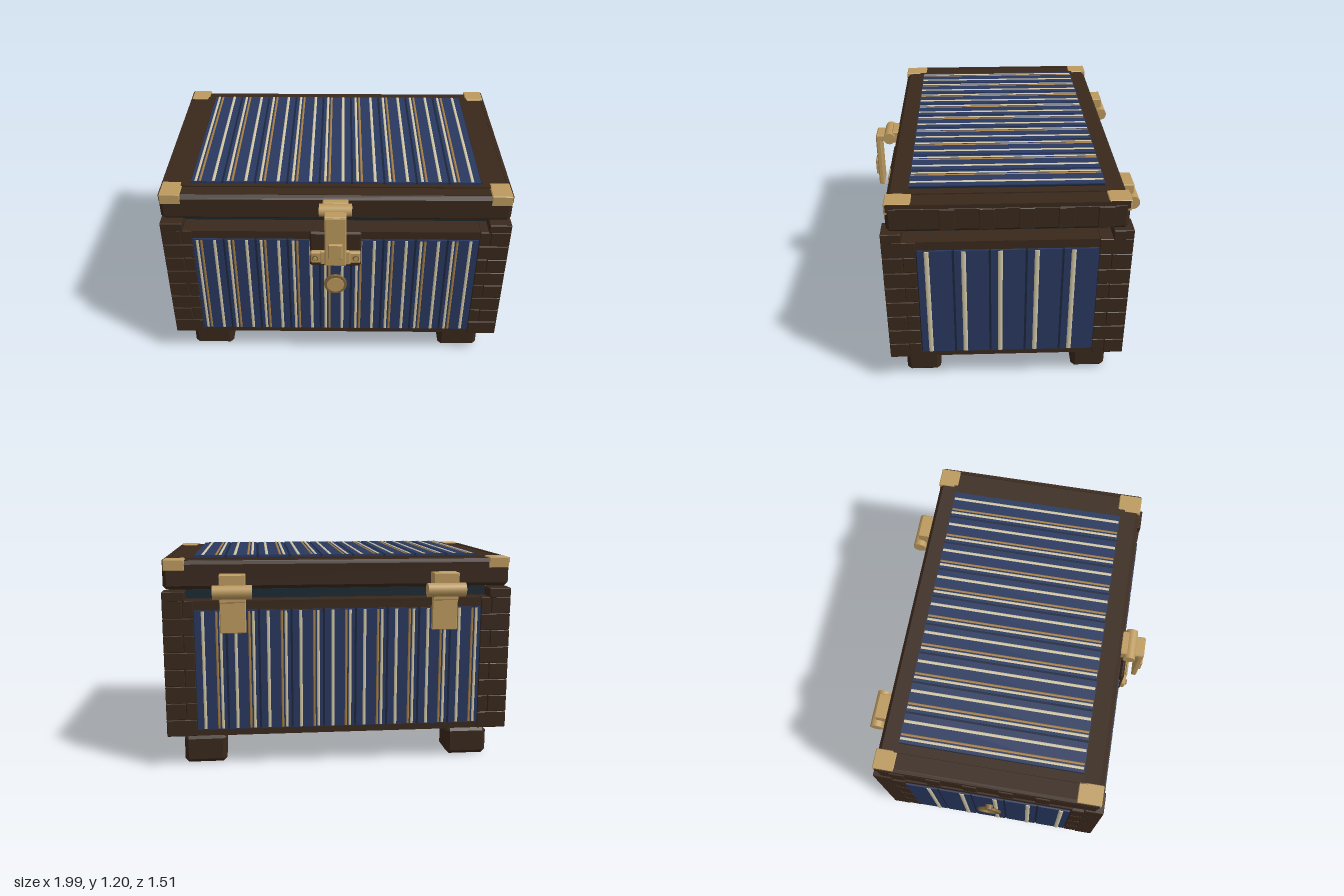
import * as THREE from 'three';
import { ConvexGeometry } from 'three/addons/geometries/ConvexGeometry.js';

const mat = (name, color) => {
  const m = new THREE.MeshStandardMaterial({ color });
  m.name = name;
  return m;
};
const wood = mat('dark wood', 0x39281c);
const seam = mat('wood seam', 0x1f1610);
const blue = mat('blue paint', 0x28385f);
const navy = mat('navy seam', 0x1a253c);
const cream = mat('cream stripe', 0xd0c6a6);
const ochre = mat('ochre stripe', 0xa67c42);
const brass = mat('brass', 0xbc9a5e);
const brassDark = mat('dark brass', 0x80653a);
const teal = mat('teal lining', 0x1a2831);

function add(parent, name, geometry, material, x = 0, y = 0, z = 0) {
  const m = new THREE.Mesh(geometry, material);
  m.name = name;
  m.position.set(x, y, z);
  parent.add(m);
  return m;
}

// Box with all edges chamfered by c
function chamferBox(w, h, d, c) {
  const pts = [];
  for (const sx of [-1, 1]) for (const sy of [-1, 1]) for (const sz of [-1, 1]) {
    const [x, y, z] = [w / 2, h / 2, d / 2];
    pts.push(
      new THREE.Vector3(sx * x, sy * (y - c), sz * (z - c)),
      new THREE.Vector3(sx * (x - c), sy * y, sz * (z - c)),
      new THREE.Vector3(sx * (x - c), sy * (y - c), sz * z));
  }
  return new ConvexGeometry(pts);
}

// Box given by its limits, chamfered when c > 0
function block(parent, name, material, [x0, x1], [y0, y1], [z0, z1], c = 0) {
  const [w, h, d] = [Math.abs(x1 - x0), y1 - y0, Math.abs(z1 - z0)];
  const geo = c ? chamferBox(w, h, d, c) : new THREE.BoxGeometry(w, h, d);
  return add(parent, name, geo, material, (x0 + x1) / 2, (y0 + y1) / 2, (z0 + z1) / 2);
}

// Cylinder along x or z
function rod(parent, name, material, r, len, x, y, z, axis = 'x', sides = 20) {
  const geo = new THREE.CylinderGeometry(r, r, len, sides);
  if (axis === 'x') geo.rotateZ(Math.PI / 2); else geo.rotateX(Math.PI / 2);
  return add(parent, name, geo, material, x, y, z);
}

// Planks in the xy plane facing +z with half-round stripes [offset, width, material]
function panel(name, w, h, count, stripes, flip = 1) {
  const g = new THREE.Group();
  g.name = name;
  add(g, 'panelBacking', new THREE.BoxGeometry(w - 0.006, h - 0.006, 0.02), navy, 0, 0, -0.013);
  const pw = w / count, gap = 0.012;
  for (let i = 0; i < count; i++) {
    const left = -w / 2 + i * pw;
    add(g, 'plank', new THREE.BoxGeometry(pw - gap, h, 0.02), blue, flip * (left + pw / 2), 0, -0.009);
    for (const [o, sw, m] of stripes) {
      const bar = new THREE.CylinderGeometry(sw / 2, sw / 2, h - 0.008, 10).scale(1, 1, 0.5);
      add(g, 'stripe', bar, m, flip * (left + o), 0, 0);
    }
  }
  return g;
}

export function createModel() {
  const model = new THREE.Group();
  model.name = 'chest';
  const chest = new THREE.Group();
  chest.name = 'chestParts';
  chest.position.set(0.01, 0, -0.02);
  model.add(chest);
  const signs = [-1, 1];

  // Feet and base plate
  for (const sx of signs) for (const sz of signs)
    add(chest, 'foot', chamferBox(0.24, 0.165, 0.195, 0.022), wood, sx * 0.77, 0.0825, sz * 0.48);
  block(chest, 'basePlate', wood, [-0.895, 0.895], [0.155, 0.195], [-0.555, 0.555]);

  // Body with rails and the lining under the lid
  block(chest, 'bodyCore', seam, [-0.962, 0.962], [0.192, 0.95], [-0.642, 0.642]);
  block(chest, 'bottomRail', wood, [-0.968, 0.968], [0.188, 0.223], [-0.648, 0.648]);
  block(chest, 'topRail', wood, [-0.968, 0.968], [0.906, 0.957], [-0.648, 0.648]);
  block(chest, 'lining', teal, [-0.86, 0.86], [0.95, 1.008], [-0.538, 0.538]);

  // Corner posts of interlocking blocks
  const rows = 8, base = 0.187, rh = (0.96 - base) / rows;
  for (const sx of signs) for (const sz of signs) {
    const post = new THREE.Group();
    post.name = 'cornerPost';
    chest.add(post);
    const X = (a, b) => [sx * a, sx * b], Z = (a, b) => [sz * a, sz * b];
    for (let i = 0; i < rows; i++) {
      const y = [base + i * rh + 0.001, base + (i + 1) * rh - 0.001];
      if (i % 2 === 0) {
        block(post, 'postBlock', wood, X(0.808, 0.977), y, Z(0.549, 0.656), 0.003);
        block(post, 'postBlock', wood, X(0.86, 0.974), y, Z(0.48, 0.547), 0.003);
      } else {
        block(post, 'postBlock', wood, X(0.868, 0.977), y, Z(0.48, 0.656), 0.003);
        block(post, 'postBlock', wood, X(0.808, 0.866), y, Z(0.549, 0.653), 0.003);
      }
    }
    block(post, 'postCap', wood, X(0.855, 0.977), [0.955, 1.01], Z(0.55, 0.656), 0.003);
  }

  // Striped panels on all four sides and the lid
  const long = [[0.031, 0.016, cream], [0.054, 0.014, ochre], [0.129, 0.018, cream]];
  const short = [[0.055, 0.027, cream]];
  const place = (p, x, y, z, rx, ry) => {
    p.position.set(x, y, z);
    p.rotation.set(rx, ry, 0);
    chest.add(p);
  };
  place(panel('frontPanel', 1.62, 0.68, 9, long), 0, 0.565, 0.656, 0, 0);
  place(panel('backPanel', 1.62, 0.68, 9, long, -1), 0, 0.565, -0.656, 0, Math.PI);
  place(panel('sidePanel', 0.965, 0.68, 5, short), 0.976, 0.565, -0.003, 0, Math.PI / 2);
  place(panel('sidePanel', 0.965, 0.68, 5, short, -1), -0.976, 0.565, -0.003, 0, -Math.PI / 2);
  place(panel('lidPanel', 1.62, 1.025, 9, long), 0, 1.196, -0.004, -Math.PI / 2, 0);

  // Lid with top frame, side rails, raised side blocks and brass corners
  add(chest, 'lid', chamferBox(1.944, 0.157, 1.25, 0.02), wood, 0, 1.0965, 0);
  block(chest, 'lidTopFrame', wood, [-0.955, 0.955], [1.155, 1.177], [-0.605, 0.605]);
  block(chest, 'lidTopStep', wood, [-0.86, 0.86], [1.17, 1.184], [-0.535, 0.535]);
  for (const sx of signs) {
    block(chest, 'lidSideRail', wood, [sx * 0.95, sx * 0.97], [1.14, 1.181], [-0.622, 0.62]);
    for (let i = 0; i < 5; i++) {
      const z = 0.31 - i * 0.203;
      block(chest, 'lidSideBlock', wood, [sx * 0.95, sx * 0.979], [1.034, 1.156], [z - 0.041, z + 0.041], 0.003);
    }
    for (const [z0, z1] of [[0.492, 0.628], [-0.632, -0.515]])
      block(chest, 'lidCorner', brass, [sx * 0.852, sx * 0.966], [1.122, 1.184], [z0, z1], 0.004);
  }

  // Front latch
  const latch = new THREE.Group();
  latch.name = 'latch';
  latch.position.z = 0.02;
  chest.add(latch);
  block(latch, 'latchBackPlate', wood, [-0.145, 0.145], [0.73, 0.97], [0.63, 0.656], 0.01);
  block(latch, 'lockPlate', brass, [-0.142, 0.142], [0.77, 0.85], [0.65, 0.68], 0.008);
  block(latch, 'staple', brass, [-0.085, 0.085], [0.765, 0.86], [0.67, 0.684], 0.005);
  block(latch, 'hasp', brass, [-0.06, 0.06], [0.8, 1.13], [0.71, 0.741], 0.006);
  block(latch, 'haspArm', brass, [-0.06, 0.06], [1.1, 1.135], [0.66, 0.738], 0.005);
  block(latch, 'haspButton', brass, [-0.04, 0.04], [0.86, 0.96], [0.735, 0.756], 0.005);
  block(latch, 'haspMount', brass, [-0.07, 0.07], [1.09, 1.16], [0.6, 0.64], 0.005);
  rod(latch, 'haspBarrel', brass, 0.035, 0.18, 0, 1.125, 0.656);
  for (const s of signs) {
    rod(latch, 'rivetRim', brassDark, 0.018, 0.012, s * 0.115, 0.81, 0.68, 'z', 14);
    rod(latch, 'rivet', brass, 0.012, 0.016, s * 0.115, 0.81, 0.682, 'z', 14);
  }

  // Round boss under the latch
  rod(chest, 'bossRim', brassDark, 0.066, 0.02, 0, 0.59, 0.663, 'z', 28);
  rod(chest, 'boss', brass, 0.05, 0.024, 0, 0.59, 0.665, 'z', 28);

  // Rear hinges
  for (const s of signs) {
    const hinge = new THREE.Group();
    hinge.name = 'hinge';
    hinge.position.x = s * 0.592;
    chest.add(hinge);
    rod(hinge, 'hingeBarrel', brass, 0.039, 0.215, 0, 1.01, -0.698);
    block(hinge, 'hingeUpperLeaf', brass, [-0.072, 0.072], [1.01, 1.105], [-0.705, -0.615], 0.004);
    block(hinge, 'hingeLowerLeaf', brass, [-0.072, 0.072], [0.78, 1.0], [-0.681, -0.655], 0.004);
    block(hinge, 'hingeKnuckle', brass, [-0.072, 0.072], [0.95, 1.0], [-0.697, -0.655], 0.004);
  }

  // Ring handle on one side
  const ring = new THREE.TorusGeometry(0.064, 0.009, 8, 28).rotateY(Math.PI / 2);
  add(chest, 'ringHandle', ring, brassDark, -1.0, 0.607, 0);
  rod(chest, 'ringMount', brassDark, 0.024, 0.03, -0.99, 0.668, 0, 'x', 16);

  return model;
}
